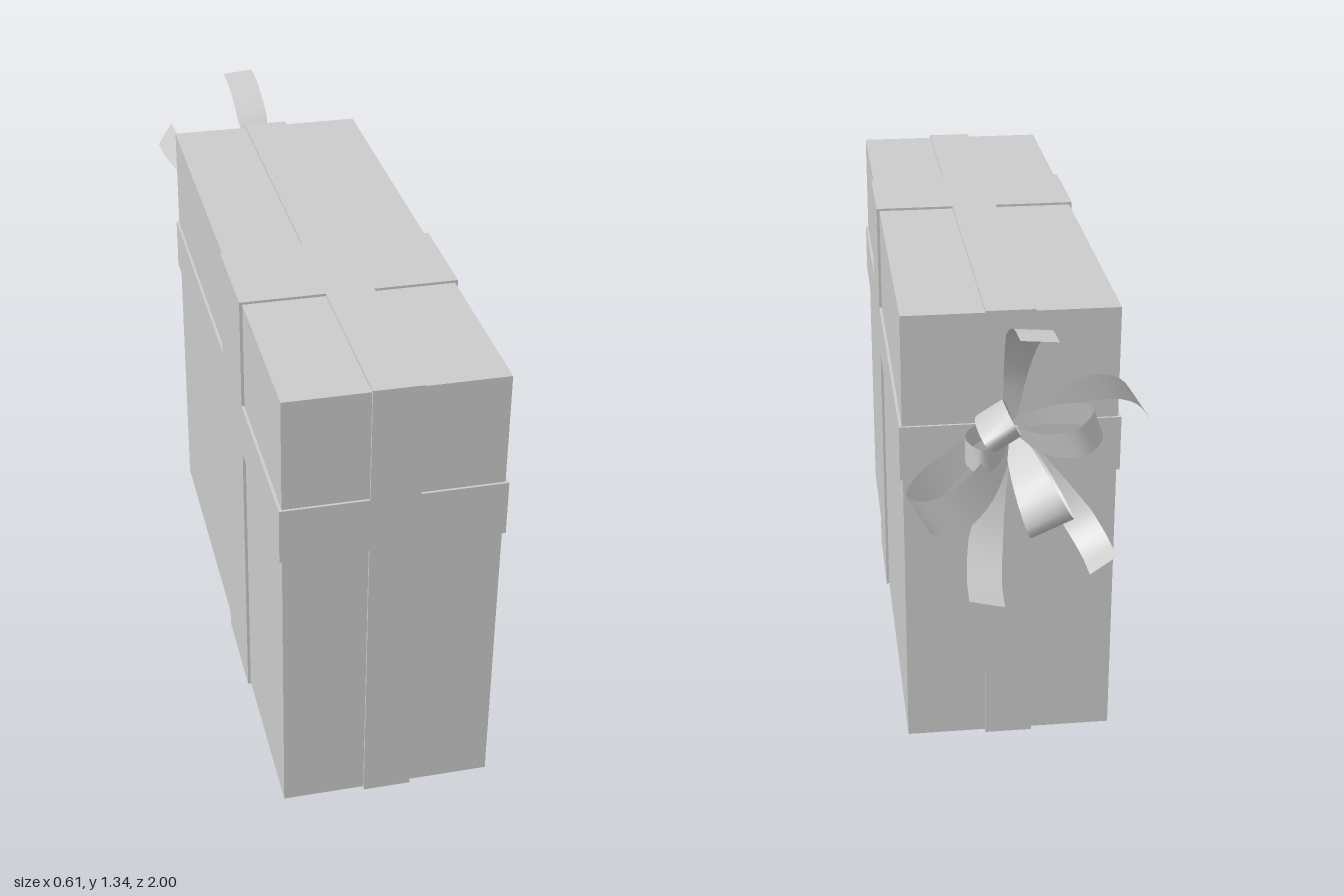
import * as THREE from 'three';

const grey = new THREE.MeshStandardMaterial({ color: 0xcccccc });
const ribbonGrey = new THREE.MeshStandardMaterial({ color: 0xcccccc, side: THREE.DoubleSide });
const KNOT = new THREE.Vector3(0.015, 0.97, -0.66);

// Box given by its minimum and maximum corners
function slab(name, min, max) {
  const size = max.map((v, i) => v - min[i]);
  const mesh = new THREE.Mesh(new THREE.BoxGeometry(...size), grey);
  mesh.position.set(...max.map((v, i) => (v + min[i]) / 2));
  mesh.name = name;
  return mesh;
}

// Flat strip swept along a curve; side is its width direction, widthAt(t) its width
function strip(name, points, side, widthAt, segments) {
  const curve = new THREE.CatmullRomCurve3(points);
  const positions = [], index = [];
  for (let i = 0; i <= segments; i++) {
    const t = i / segments;
    const p = curve.getPoint(t);
    for (const s of [-0.5, 0.5]) {
      positions.push(...p.clone().addScaledVector(side, s * widthAt(t)).toArray());
    }
    if (i < segments) {
      const a = i * 2;
      index.push(a, a + 1, a + 2, a + 1, a + 3, a + 2);
    }
  }
  const geometry = new THREE.BufferGeometry();
  geometry.setAttribute('position', new THREE.Float32BufferAttribute(positions, 3));
  geometry.setIndex(index);
  geometry.computeVertexNormals();
  const mesh = new THREE.Mesh(geometry, ribbonGrey);
  mesh.name = name;
  return mesh;
}

// Point at distance r from the knot along a direction on the back face, h behind it
const fromKnot = (dir, r, h) => KNOT.clone().addScaledVector(dir, r).add(new THREE.Vector3(0, 0, -h));

// Loop leaving the knot towards (dx, dy) and curling back to it
function bowLoop(dx, dy, depth, width) {
  const dir = new THREE.Vector3(dx, dy, 0);
  const reach = dir.length();
  dir.normalize();
  const side = new THREE.Vector3(-dir.y, dir.x, 0);
  const profile = [[0, 0.03], [0.42, 0.1], [0.85, 0.35], [1, 0.68], [0.75, 0.98], [0.42, 0.85], [0.15, 0.45], [0, 0.08]];
  const points = profile.map(([r, h]) => fromKnot(dir, r * reach, h * depth));
  return strip('bowLoop', points, side, t => width * (0.3 + 0.7 * Math.sin(Math.PI * t)), 20);
}

// Loose end rising from the knot, then bending backwards
function bowTail(dx, dy, depth, width) {
  const dir = new THREE.Vector3(dx, dy, 0);
  const reach = dir.length();
  dir.normalize();
  const side = new THREE.Vector3(-dir.y, dir.x, 0);
  const profile = [[0, 0.02], [0.45, 0.1], [0.8, 0.34], [0.96, 0.66], [1, 1]];
  const points = profile.map(([r, h]) => fromKnot(dir, r * reach, h * depth));
  return strip('bowTail', points, side, t => width * (0.35 + 0.65 * Math.min(1, t * 2)), 12);
}

export function createModel() {
  const model = new THREE.Group();
  model.name = 'giftBox';

  // Parcel
  model.add(slab('box', [-0.278, 0.006, -0.652], [0.296, 1.284, 0.993]));

  // Bands wrapped round the parcel in three directions
  model.add(
    slab('lengthwiseBand', [-0.055, 0, -0.659], [0.076, 1.291, 1]),
    slab('crosswiseBand', [-0.286, 0, 0.21], [0.304, 1.291, 0.5]),
    slab('levelBand', [-0.286, 0.82, -0.659], [0.304, 0.975, 1]),
  );

  // Bow on the back: direction x, y, then depth and width
  const bow = new THREE.Group();
  bow.name = 'bow';
  const loops = [
    [0.26, -0.14, 0.31, 0.12],
    [-0.09, -0.2, 0.29, 0.12],
    [-0.21, 0.07, 0.24, 0.08],
    [0.07, 0.11, 0.25, 0.09],
    [0.13, 0.0, 0.22, 0.07],
  ];
  const tails = [
    [-0.03, 0.37, 0.335, 0.095],
    [-0.285, 0.18, 0.315, 0.085],
    [0.09, -0.37, 0.29, 0.095],
    [-0.22, -0.31, 0.23, 0.085],
  ];
  loops.forEach(l => bow.add(bowLoop(...l)));
  tails.forEach(t => bow.add(bowTail(...t)));
  model.add(bow);

  // Slight turn of the whole parcel
  model.rotation.y = 0.007;
  return model;
}
